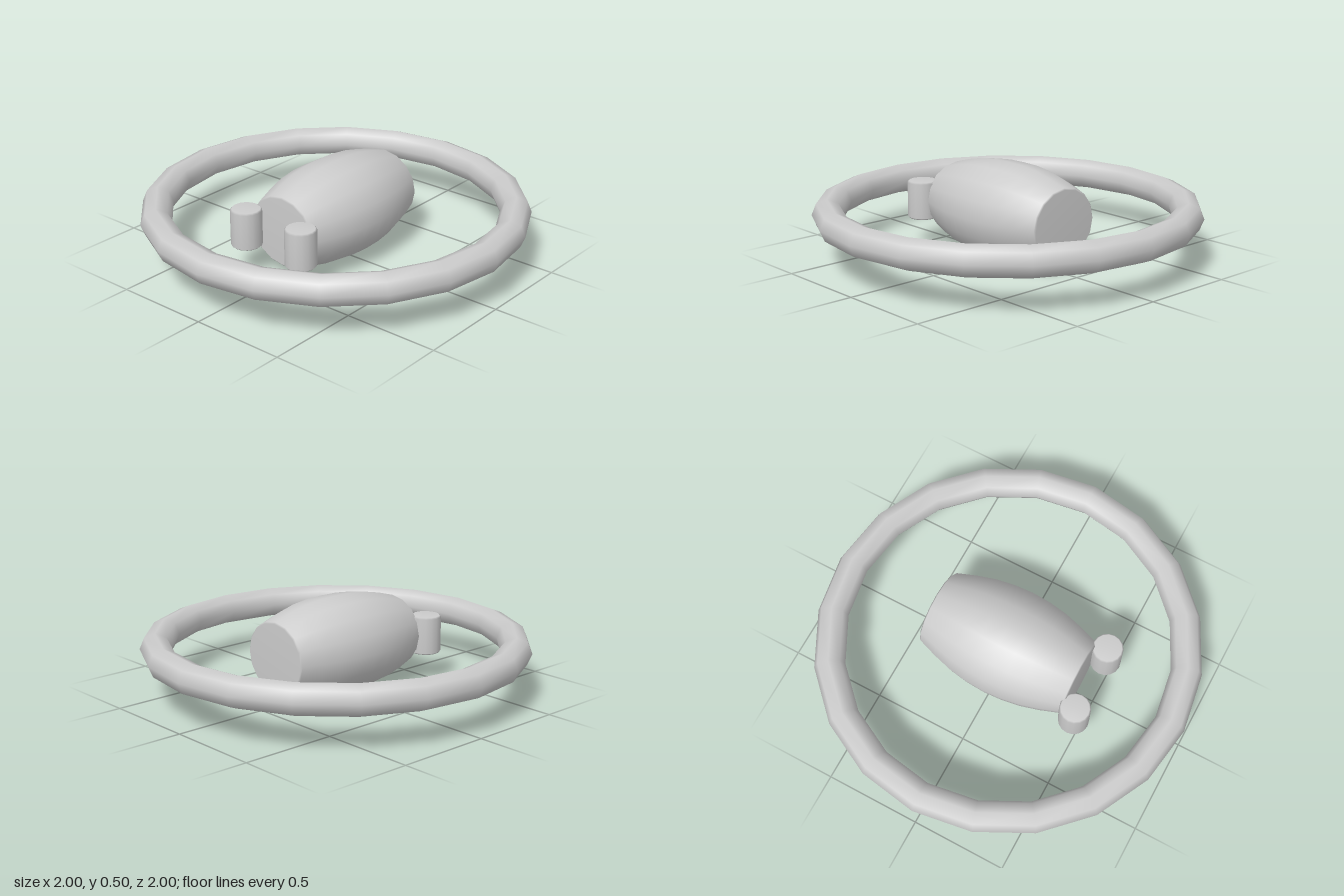
import * as THREE from 'three';

const material = new THREE.MeshStandardMaterial({ color: 0xcccccc });
const CENTRE_Y = 0.25;

function addPart(group, name, geometry, x = 0, z = 0) {
  const mesh = new THREE.Mesh(geometry, material);
  mesh.name = name;
  mesh.position.set(x, CENTRE_Y, z);
  group.add(mesh);
}

const lathe = (points, sides) =>
  new THREE.LatheGeometry(points.map(([r, y]) => new THREE.Vector2(r, y)), sides);

// Barrel along z, slightly flattened, a little less so towards the ends
function barrelGeometry() {
  const half = [[0.29, 0], [0.284, 0.1], [0.268, 0.2], [0.24, 0.3], [0.203, 0.405], [0.194, 0.412], [0, 0.412]];
  const lower = half.slice(1).reverse().map(([r, y]) => [r, -y]);
  const geometry = lathe([...lower, ...half], 16).rotateX(Math.PI / 2);
  const p = geometry.attributes.position;
  for (let i = 0; i < p.count; i++) {
    const t = Math.abs(p.getZ(i)) / 0.412;
    p.setY(i, p.getY(i) * (0.862 + 0.05 * t));
  }
  return geometry;
}

// Upright peg with a narrow rounded rim
function pegGeometry() {
  const r = 0.08, h = 0.1, b = 0.008;
  return lathe([[0, -h], [r - b, -h], [r, b - h], [r, h - b], [r - b, h], [0, h]], 16);
}

export function createModel() {
  const group = new THREE.Group();
  addPart(group, 'ring', new THREE.TorusGeometry(0.92, 0.08, 8, 20).rotateX(Math.PI / 2));
  addPart(group, 'barrelBody', barrelGeometry());
  for (const [side, name] of [[1, 'leftPeg'], [-1, 'rightPeg']]) {
    addPart(group, name, pegGeometry(), side * 0.18, 0.473);
  }
  return group;
}
